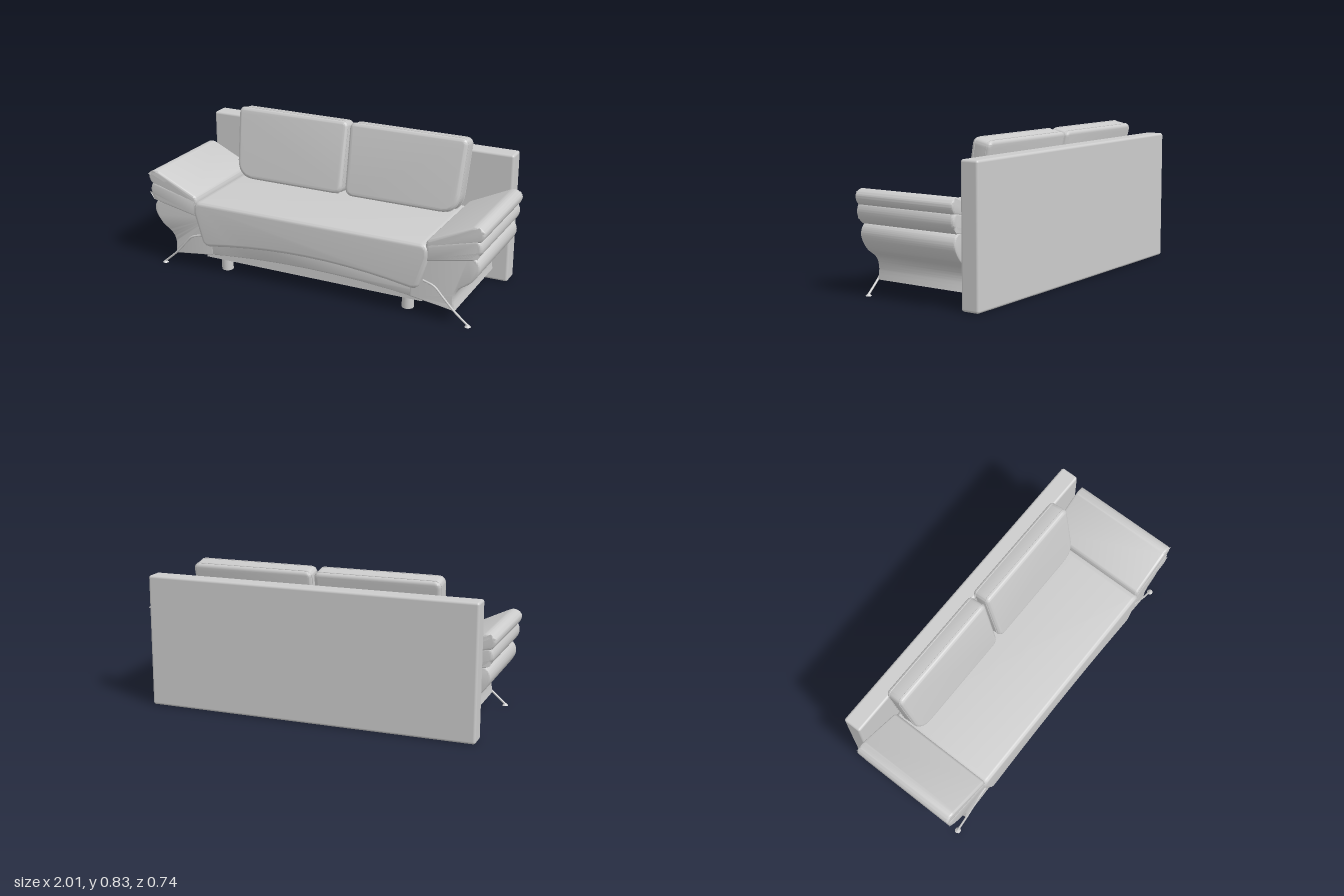
import * as THREE from 'three';
import { toCreasedNormals } from 'three/addons/utils/BufferGeometryUtils.js';
import { RoundedBoxGeometry } from 'three/addons/geometries/RoundedBoxGeometry.js';

const material = new THREE.MeshStandardMaterial({ color: 0xcccccc });

function part(name, geometry, parent, x = 0, y = 0, z = 0) {
  const mesh = new THREE.Mesh(geometry, material);
  mesh.name = name;
  mesh.position.set(x, y, z);
  parent.add(mesh);
  return mesh;
}

// Polygon with softened corners; each point is [x, y, radius], s mirrors x
function softShape(points, s = 1) {
  const p = points.map(([x, y]) => new THREE.Vector2(x * s, y));
  const shape = new THREE.Shape();
  p.forEach((corner, i) => {
    const r = points[i][2];
    const toward = (q) => q.clone().sub(corner).setLength(r).add(corner);
    const a = toward(p[(i + p.length - 1) % p.length]);
    const b = toward(p[(i + 1) % p.length]);
    if (i === 0) shape.moveTo(a.x, a.y);
    else shape.lineTo(a.x, a.y);
    shape.quadraticCurveTo(corner.x, corner.y, b.x, b.y);
  });
  shape.closePath();
  return shape;
}

// Extrusion between z0 and z1 whose bevel stays inside the outline
function slab(shape, z0, z1, bevel) {
  const geometry = new THREE.ExtrudeGeometry(shape, {
    depth: z1 - z0 - 2 * bevel, curveSegments: 10, bevelEnabled: true,
    bevelSize: bevel, bevelThickness: bevel, bevelOffset: -bevel, bevelSegments: 5,
  });
  geometry.translate(0, 0, z0 + bevel);
  return toCreasedNormals(geometry, 0.7);
}

function addArm(sofa, s, side) {
  const arm = new THREE.Group();
  arm.name = side + 'Arm';
  sofa.add(arm);

  // Bulging lower body
  const body = new THREE.Shape();
  body.moveTo(0.6 * s, 0.105);
  body.lineTo(0.855 * s, 0.073);
  body.splineThru([[0.848, 0.14], [0.87, 0.195], [0.94, 0.25], [0.98, 0.32], [0.965, 0.375], [0.91, 0.4]]
    .map(([x, y]) => new THREE.Vector2(x * s, y)));
  body.lineTo(0.6 * s, 0.34);
  body.closePath();
  part('armBody', slab(body, -0.262, 0.345, 0.01), arm);

  // Two stacked pads sloping down to the seat
  const lower = [[0.69, 0.325, 0.02], [0.965, 0.38, 0.04], [1.0, 0.44, 0.03], [0.98, 0.5, 0.03], [0.69, 0.425, 0.02]];
  const upper = [[0.685, 0.395, 0.015], [0.99, 0.482, 0.025], [1.01, 0.535, 0.025], [0.965, 0.573, 0.035], [0.695, 0.445, 0.015]];
  part('lowerArmPad', slab(softShape(lower, s), -0.265, 0.362, 0.018), arm);
  part('upperArmPad', slab(softShape(upper, s), -0.265, 0.36, 0.014), arm);

  // Thin metal leg following the front, with its flared foot
  const path = new THREE.CatmullRomCurve3([
    [0.676, 0.215, 0.345], [0.74, 0.193, 0.347], [0.785, 0.147, 0.347], [0.847, 0.08, 0.345], [0.93, 0.008, 0.342],
  ].map(([x, y, z]) => new THREE.Vector3(x * s, y, z)));
  part('metalLeg', new THREE.TubeGeometry(path, 32, 0.006, 8), arm);
  part('metalFoot', new THREE.CylinderGeometry(0.006, 0.017, 0.012, 16), arm, 0.93 * s, 0.006, 0.342);
}

function addBackCushion(sofa, s, side) {
  const cushion = new THREE.Group();
  cushion.name = side + 'BackCushion';
  cushion.position.set(0, 0.425, -0.085);
  cushion.rotation.x = -0.2;
  sofa.add(cushion);

  const depth = 0.112, bevel = 0.02;
  const shape = softShape([[0.012, 0, 0.05], [0.69, 0, 0.11], [0.71, 0.418, 0.04], [0.008, 0.418, 0.035]], s);
  part('cushionBody', slab(shape, -depth, 0, bevel), cushion);

  // Piping around the front and back edges
  const outline = shape.getSpacedPoints(80).slice(0, -1);
  for (const z of [-bevel, bevel - depth]) {
    const loop = new THREE.CatmullRomCurve3(outline.map((p) => new THREE.Vector3(p.x, p.y, z)), true);
    part('piping', new THREE.TubeGeometry(loop, 160, 0.003, 6, true), cushion);
  }
}

export function createModel() {
  const sofa = new THREE.Group();
  sofa.name = 'sofa';

  // Tall panel behind the seat
  part('backPanel', new RoundedBoxGeometry(1.88, 0.747, 0.106, 4, 0.014), sofa, 0, 0.3735, -0.318);

  // Hidden base under the seat
  part('base', new THREE.BoxGeometry(1.32, 0.14, 0.575), sofa, 0, 0.145, 0.0245);

  // Front apron with an arched lower edge
  const apron = new THREE.Shape();
  apron.moveTo(-0.845, 0.075);
  apron.quadraticCurveTo(0, 0.205, 0.845, 0.075);
  apron.lineTo(0.838, 0.15);
  apron.lineTo(0.78, 0.33);
  apron.lineTo(-0.78, 0.33);
  apron.lineTo(-0.838, 0.15);
  apron.closePath();
  part('apron', slab(apron, 0.15, 0.343, 0.008), sofa);

  // Seat cushion, its front face hanging over the apron
  const seat = new THREE.Shape();
  seat.moveTo(-0.6, 0.163);
  seat.quadraticCurveTo(0, 0.265, 0.6, 0.163);
  seat.quadraticCurveTo(0.645, 0.155, 0.66, 0.19);
  seat.lineTo(0.708, 0.35);
  seat.quadraticCurveTo(0.715, 0.423, 0.66, 0.423);
  seat.lineTo(-0.66, 0.423);
  seat.quadraticCurveTo(-0.715, 0.423, -0.708, 0.35);
  seat.lineTo(-0.66, 0.19);
  seat.quadraticCurveTo(-0.645, 0.155, -0.6, 0.163);
  part('seat', slab(seat, -0.262, 0.37, 0.022), sofa);

  for (const [s, side] of [[1, 'left'], [-1, 'right']]) {
    addArm(sofa, s, side);
    addBackCushion(sofa, s, side);
    part(side + 'FrontFoot', new THREE.CylinderGeometry(0.033, 0.033, 0.09, 24), sofa, 0.56 * s, 0.045, 0.258);
  }
  return sofa;
}
